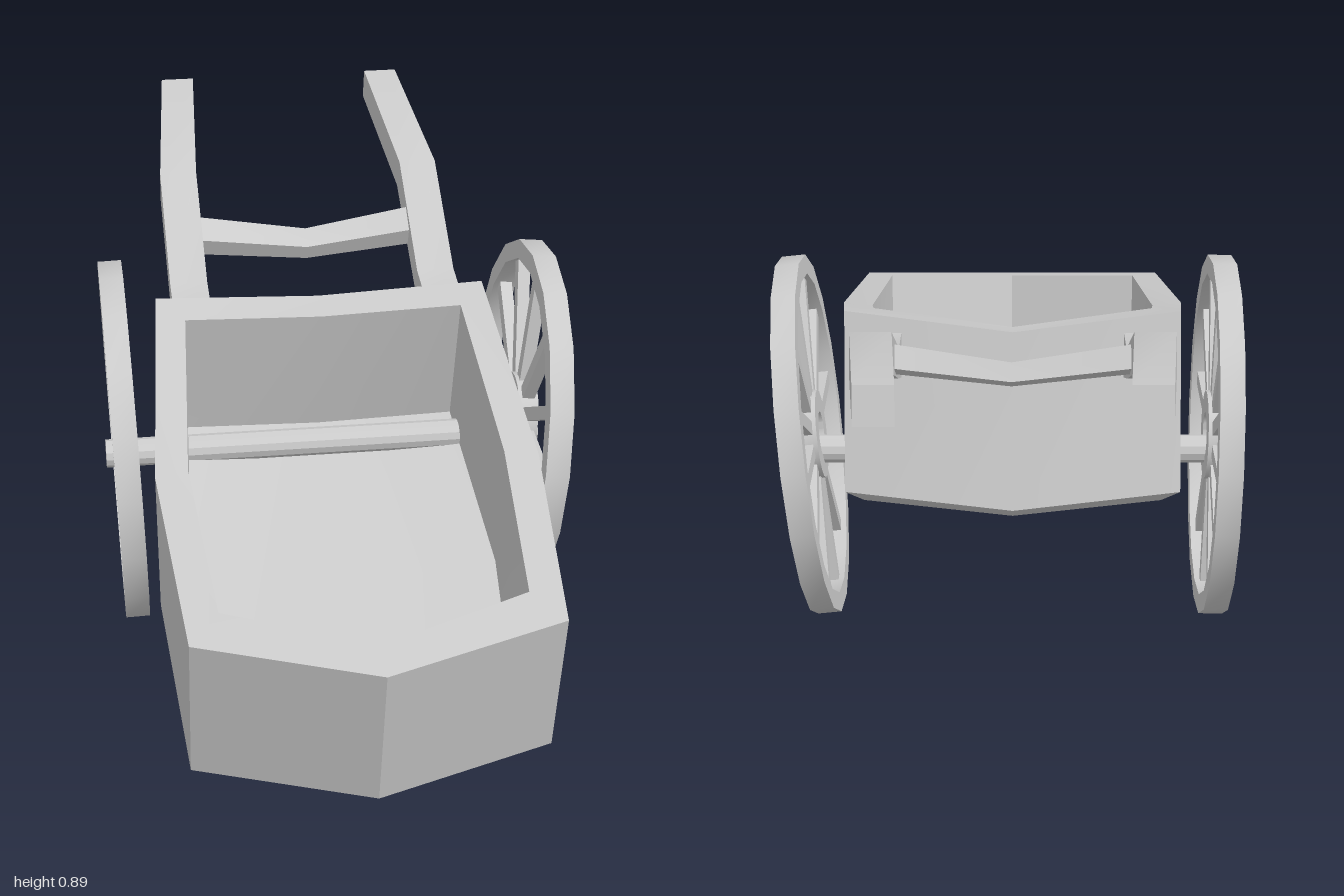
import * as THREE from 'three';
import { toCreasedNormals } from 'three/addons/utils/BufferGeometryUtils.js';

const material = new THREE.MeshStandardMaterial({ color: 0xcccccc });

function part(name, geometry) {
  const mesh = new THREE.Mesh(toCreasedNormals(geometry, 0.45), material);
  mesh.name = name;
  return mesh;
}

// Joins equal-sized rings of points into a closed solid with fan caps.
function loft(rings) {
  const n = rings[0].length, index = [], last = (rings.length - 1) * n;
  for (let r = 0; r < rings.length - 1; r++) {
    for (let i = 0; i < n; i++) {
      const a = r * n + i, b = r * n + (i + 1) % n;
      index.push(a, a + n, b, b, a + n, b + n);
    }
  }
  for (let k = 2; k < n; k++) {
    const i = k % n, j = (k + 1) % n;
    index.push(1, i, j, last + 1, last + j, last + i);
  }
  const g = new THREE.BufferGeometry();
  g.setAttribute('position', new THREE.Float32BufferAttribute(rings.flat(2), 3));
  g.setIndex(index);
  return g;
}

// Boat-shaped ring from back centre, back corner, side and front corner, front centre.
function hullRing([backY, backZ], [bx, by, bz], [mx, my, mz], [fx, fy, fz], [frontY, frontZ]) {
  const c = -0.013;
  return [
    [c - bx, by, bz], [c, backY, backZ], [c + bx, by, bz], [c + mx, my, mz],
    [c + fx, fy, fz], [c, frontY, frontZ], [c - fx, fy, fz], [c - mx, my, mz],
  ];
}

function createBody() {
  return part('cartBody', loft([
    hullRing([0.275, -0.19], [0.33, 0.3, -0.16], [0.37, 0.18, 0.35], [0.34, 0.08, 0.78], [0.05, 0.87]), // underside
    hullRing([0.305, -0.23], [0.37, 0.335, -0.195], [0.402, 0.215, 0.36], [0.372, 0.11, 0.81], [0.08, 0.91]), // lower edge
    hullRing([0.69, -0.14], [0.368, 0.725, -0.1], [0.405, 0.565, 0.41], [0.372, 0.475, 0.9], [0.442, 1.0]), // outer rim
    hullRing([0.675, -0.065], [0.308, 0.705, -0.025], [0.335, 0.565, 0.39], [0.308, 0.495, 0.82], [0.46, 0.92]), // inner rim
    hullRing([0.36, -0.14], [0.305, 0.385, -0.11], [0.333, 0.265, 0.35], [0.305, 0.17, 0.74], [0.135, 0.84]), // floor
  ]));
}

// Bent handle: each station is [inner x, outer x, lower y, lower z, upper y, upper z].
function createHandle(side, name) {
  const stations = [
    [0.243, 0.328, 0.585, -0.14, 0.68, -0.11],
    [0.243, 0.328, 0.64, -0.29, 0.69, -0.24],
    [0.243, 0.328, 0.76, -0.57, 0.835, -0.535],
    [0.217, 0.295, 0.82, -1.0, 0.895, -0.98],
  ];
  return part(name, loft(stations.map(([inner, outer, y0, z0, y1, z1]) => {
    const [x0, x1] = (side > 0 ? [inner, outer] : [-outer, -inner]).map((x) => x - 0.013);
    return [[x0, y0, z0], [x1, y0, z0], [x1, y1, z1], [x0, y1, z1]];
  })));
}

// Sagging bar between the handles, thinner in the middle.
function createCrossbar() {
  const corners = [[0.04, -0.015], [-0.005, -0.04], [-0.04, 0.02], [0.005, 0.04]];
  const stations = [[-0.27, 0.73, 1], [-0.01, 0.695, 0.8], [0.245, 0.73, 1]];
  return part('crossbar', loft(stations.map(([x, y, s]) =>
    corners.map(([dy, dz]) => [x, y + dy * s, -0.41 + dz * s]))));
}

// Flat ring around the x axis.
function ringGeometry(inner, outer, width, sides) {
  const h = width / 2;
  const profile = [[inner, -h], [outer, -h], [outer, h], [inner, h], [inner, -h]];
  return new THREE.LatheGeometry(profile.map(([x, y]) => new THREE.Vector2(x, y)), sides)
    .rotateY(Math.PI / 2).rotateZ(Math.PI / 2);
}

function createWheel(name, x, tilt) {
  const wheel = new THREE.Group();
  wheel.name = name;
  wheel.add(part('wheelRim', ringGeometry(0.362, 0.405, 0.053, 18)));
  wheel.add(part('wheelHub', ringGeometry(0.05, 0.1, 0.045, 18)));
  for (let i = 0; i < 12; i++) {
    const spoke = new THREE.BoxGeometry(0.028, 0.28, 0.03)
      .translate(0, 0.23, 0).rotateX((i * Math.PI) / 6);
    wheel.add(part('spoke', spoke));
  }
  wheel.position.set(x, 0.407, -0.037);
  wheel.rotation.z = tilt;
  return wheel;
}

export function createModel() {
  const cart = new THREE.Group();
  cart.name = 'handcart';
  cart.add(createBody());
  cart.add(createHandle(1, 'leftHandle'), createHandle(-1, 'rightHandle'), createCrossbar());
  // The wheels lean outwards, one more than the other.
  cart.add(createWheel('leftWheel', 0.44, -0.106), createWheel('rightWheel', -0.469, 0.025));
  const axle = part('axle', new THREE.CylinderGeometry(0.032, 0.032, 0.99, 12).rotateZ(Math.PI / 2));
  axle.position.set(-0.015, 0.372, -0.035);
  cart.add(axle);
  return cart;
}
